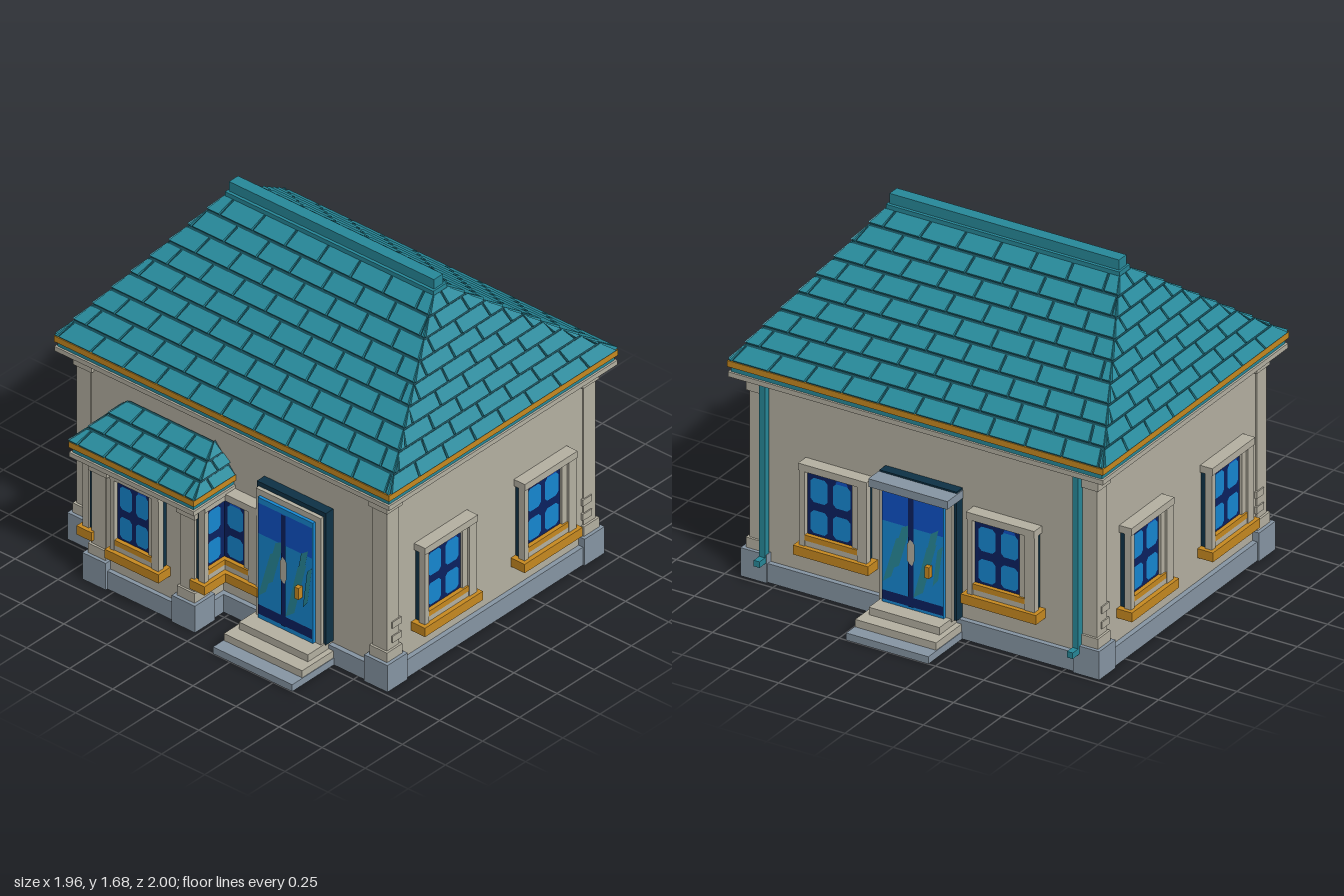
import * as THREE from 'three';

const mat = (name, color, side = THREE.FrontSide) => {
  const m = new THREE.MeshStandardMaterial({ color, side });
  m.name = name;
  return m;
};
const stone = mat('stone', 0xb5b1a2), slate = mat('slate', 0x8796a4), teal = mat('teal', 0x27899a);
const darkTeal = mat('dark teal', 0x134a55), gold = mat('gold', 0xc88a20), darkFrame = mat('dark frame', 0x0e3246);
const navy = mat('navy', 0x0b2161), sky = mat('sky blue', 0x1688d2), blue = mat('blue', 0x0f52c6);

function box(parent, name, m, x0, x1, y0, y1, z0, z1) {
  const mesh = new THREE.Mesh(new THREE.BoxGeometry(x1 - x0, y1 - y0, z1 - z0), m);
  mesh.position.set((x0 + x1) / 2, (y0 + y1) / 2, (z0 + z1) / 2);
  mesh.name = name;
  parent.add(mesh);
}

// Flat painted polygon facing local +z
function plate(parent, name, m, points, z) {
  const mesh = new THREE.Mesh(new THREE.ShapeGeometry(new THREE.Shape(points.map(p => new THREE.Vector2(...p)))), m);
  mesh.position.z = z;
  mesh.name = name;
  parent.add(mesh);
}

function group(parent, name, x, z, turn = 0, sx = 1, sy = 1) {
  const g = new THREE.Group();
  g.name = name;
  g.position.set(x, 0, z);
  g.rotation.y = turn;
  g.scale.set(sx, sy, 1);
  parent.add(g);
  return g;
}

function quadMesh(parent, name, m, quads) {
  const pos = [];
  for (const [a, b, c, d] of quads) for (const p of [a, b, c, a, c, d]) pos.push(p.x, p.y, p.z);
  const geo = new THREE.BufferGeometry();
  geo.setAttribute('position', new THREE.Float32BufferAttribute(pos, 3));
  geo.computeVertexNormals();
  const mesh = new THREE.Mesh(geo, m);
  mesh.name = name;
  parent.add(mesh);
}

// Four slopes covered in rows of staggered tiles over a dark base
function hipRoof(parent, W, D, w, d, y0, y1, rows, pitch) {
  const base = [], tiles = [], up = new THREE.Vector3(0, 1, 0);
  for (let k = 0; k < 4; k++) {
    const [eave, out, top, inn] = k % 2 ? [D, W, d, w] : [W, D, w, d];
    const normal = new THREE.Vector3(0, out - inn, y1 - y0).normalize();
    const at = (s, t, lift) => new THREE.Vector3(s, y0 + (y1 - y0) * t, out + (inn - out) * t)
      .addScaledVector(normal, lift).applyAxisAngle(up, k * Math.PI / 2);
    const half = t => eave + (top - eave) * t;
    base.push([at(-eave, 0, 0), at(eave, 0, 0), at(top, 1, 0), at(-top, 1, 0)]);
    for (let r = 0; r < rows; r++) {
      const t0 = r / rows, t1 = (r + 0.87) / rows, h0 = half(t0), h1 = half(t1);
      const shift = r % 2 ? 0.5 : 0;
      const n = Math.ceil(eave / pitch) + 1;
      for (let i = -n; i < n; i++) {
        const s0 = (i + shift) * pitch + 0.006, s1 = (i + 1 + shift) * pitch - 0.006;
        const clip = (s, h) => Math.max(-h, Math.min(h, s));
        const a0 = clip(s0, h0), b0 = clip(s1, h0), a1 = clip(s0 * 0.97, h1), b1 = clip(s1 * 0.97, h1);
        if (b0 - a0 < 0.008) continue;
        const lo = 0.014, hi = 0.005;
        const A = at(a0, t0, lo), B = at(b0, t0, lo), C = at(b1, t1, hi), E = at(a1, t1, hi);
        const a = at(a0, t0, 0), b = at(b0, t0, 0), c = at(b1, t1, 0), e = at(a1, t1, 0);
        tiles.push([A, B, C, E], [a, b, B, A], [b, c, C, B], [c, e, E, C], [e, a, A, E]);
      }
    }
  }
  quadMesh(parent, 'roofBase', darkTeal, base);
  quadMesh(parent, 'roofTiles', teal, tiles);
}

// Stacked mouldings under the eaves
function cornice(parent, W, D, y) {
  box(parent, 'corniceBead', gold, -W + 0.05, W - 0.05, y - 0.015, y, -D + 0.05, D - 0.05);
  box(parent, 'corniceStone', stone, -W, W, y, y + 0.024, -D, D);
  box(parent, 'corniceTeal', teal, -W + 0.01, W - 0.01, y + 0.024, y + 0.05, -D + 0.01, D - 0.01);
  box(parent, 'corniceGold', gold, -W - 0.002, W + 0.002, y + 0.05, y + 0.08, -D - 0.002, D + 0.002);
}

// Corner pier with footing, base and capital; sx, sz give the outward direction
function pier(parent, x, z, sx, sz, top) {
  const g = new THREE.Group();
  g.name = 'cornerPier';
  const part = (name, m, out, size, y0, y1) => {
    const xs = [x + sx * out, x - sx * size].sort((a, b) => a - b);
    const zs = [z + sz * out, z - sz * size].sort((a, b) => a - b);
    box(g, name, m, xs[0], xs[1], y0, y1, zs[0], zs[1]);
  };
  part('pierFooting', slate, 0.03, 0.105, 0, 0.14);
  part('pierBase', stone, 0.013, 0.09, 0.14, 0.19);
  part('pierShaft', stone, 0.002, 0.08, 0.19, top - 0.065);
  part('pierCapital', stone, 0.012, 0.095, top - 0.065, top);
  parent.add(g);
}

function windowUnit(parent, x, z, turn, sx = 1) {
  const g = group(parent, 'window', x, z, turn, sx);
  box(g, 'windowBacking', darkFrame, -0.165, 0.165, 0.25, 0.645, -0.02, 0.03);
  box(g, 'glass', navy, -0.147, 0.092, 0.305, 0.627, 0.03, 0.036);
  box(g, 'leftPost', stone, -0.175, -0.147, 0.255, 0.64, 0.025, 0.06);
  box(g, 'innerPost', stone, 0.092, 0.125, 0.3, 0.63, 0.03, 0.048);
  box(g, 'rightPost', stone, 0.125, 0.175, 0.255, 0.64, 0.025, 0.06);
  box(g, 'lintel', stone, -0.177, 0.177, 0.627, 0.662, 0.0, 0.064);
  box(g, 'apron', stone, -0.16, 0.16, 0.25, 0.285, 0.025, 0.055);
  box(g, 'innerSill', gold, -0.15, 0.13, 0.283, 0.31, 0.03, 0.057);
  box(g, 'sill', gold, -0.195, 0.195, 0.21, 0.256, -0.01, 0.078);
  // Four panes with clipped corners
  for (const [a, b] of [[-0.128, -0.04], [-0.012, 0.078]]) for (const [c, d] of [[0.322, 0.435], [0.475, 0.595]]) {
    const k = 0.016;
    plate(g, 'pane', sky, [[a + k, c], [b - k, c], [b, c + k], [b, d - k], [b - k, d], [a + k, d], [a, d - k], [a, c + k]], 0.038);
  }
  plate(g, 'paneTop', blue, [[0, 0.595], [0.065, 0.595], [0.055, 0.615], [0.01, 0.615]], 0.038);
}

function door(parent, x, z, turn, sy = 1) {
  const g = group(parent, 'door', x, z, turn, 1, sy);
  box(g, 'doorSurround', darkFrame, -0.2, 0.2, 0.105, 0.8, -0.02, 0.045);
  box(g, 'doorFrame', stone, -0.19, 0.187, 0.105, 0.777, 0.04, 0.064);
  box(g, 'doorLeaf', sky, -0.165, 0.155, 0.112, 0.747, 0.06, 0.08);
  const rect = (name, m, a, b, c, d, h) => plate(g, name, m, [[a, c], [b, c], [b, d], [a, d]], h);
  rect('upperPanel', blue, -0.163, 0.153, 0.56, 0.72, 0.082);
  rect('kickPanel', navy, -0.163, 0.153, 0.135, 0.185, 0.082);
  // Slanted reflections
  for (const [a, c, b, d, w] of [[-0.16, 0.23, -0.09, 0.48, 0.045], [-0.125, 0.3, -0.06, 0.55, 0.05],
    [0.0, 0.19, 0.07, 0.48, 0.05], [0.04, 0.3, 0.09, 0.56, 0.04], [0.1, 0.28, 0.125, 0.48, 0.028]])
    plate(g, 'reflection', teal, [[a, c], [a + w, c + 0.04], [b + w, d + 0.03], [b, d]], 0.084 + a * 0.004);
  rect('centreBar', navy, -0.026, 0.002, 0.135, 0.72, 0.086);
  plate(g, 'centrePlate', stone, [[-0.03, 0.38], [-0.005, 0.36], [0.008, 0.39], [0.008, 0.48], [-0.015, 0.5], [-0.03, 0.47]], 0.088);
  box(g, 'doorHandle', gold, 0.072, 0.095, 0.33, 0.39, 0.08, 0.108);
}

function steps(parent, x, turn, half) {
  const g = group(parent, 'steps', x, 0, turn);
  box(g, 'lowerStep', slate, -half, half, 0, 0.036, 0.6, 1);
  box(g, 'middleStep', stone, -half + 0.003, half - 0.003, 0.036, 0.073, 0.6, 0.93);
  box(g, 'upperStep', stone, -half + 0.03, half - 0.03, 0.073, 0.11, 0.6, 0.86);
}

export function createModel() {
  const model = new THREE.Group();
  model.name = 'house';

  // Main body
  const house = group(model, 'mainHouse', 0, 0);
  box(house, 'plinth', slate, -0.92, 0.92, 0, 0.094, -0.72, 0.72);
  box(house, 'walls', stone, -0.895, 0.895, 0.09, 1.0, -0.695, 0.695);
  for (const sx of [-1, 1]) for (const sz of [-1, 1]) {
    pier(house, sx * 0.9, sz * 0.7, sx, sz, 0.985);
    for (const y of [0.22, 0.295])
      box(house, 'quoin', stone, sx * 0.9 - 0.008, sx * 0.9 + 0.008, y, y + 0.034, sz * 0.64 - 0.03, sz * 0.64 + 0.03);
  }
  cornice(house, 0.972, 0.768, 0.994);
  hipRoof(house, 0.968, 0.764, 0.6, 0.035, 1.072, 1.615, 9, 0.19);
  box(house, 'ridgeBase', teal, -0.605, 0.605, 1.585, 1.63, -0.045, 0.045);
  box(house, 'ridge', teal, -0.595, 0.595, 1.62, 1.68, -0.03, 0.03);

  // Projecting bay
  const bay = group(model, 'bay', -0.345, 0);
  box(bay, 'bayPlinth', slate, -0.315, 0.315, 0, 0.094, 0.5, 0.915);
  box(bay, 'bayWalls', stone, -0.292, 0.292, 0.09, 0.66, 0.5, 0.893);
  for (const sx of [-1, 1]) pier(bay, sx * 0.297, 0.897, sx, 1, 0.64);
  const eaves = group(bay, 'bayEaves', 0, 0.7);
  cornice(eaves, 0.362, 0.276, 0.655);
  hipRoof(eaves, 0.36, 0.275, 0.245, 0.005, 0.733, 0.865, 3, 0.155);

  // Windows
  const q = Math.PI / 2;
  for (const s of [-1, 1]) {
    for (const z of [-0.335, 0.335]) windowUnit(model, s * 0.897, z, s * q);
    windowUnit(model, s * 0.435, -0.697, Math.PI);
    windowUnit(bay, s * 0.294, 0.72, s * q);
  }
  for (const x of [-0.573, 0.017]) windowUnit(model, x, 0.697, 0);
  windowUnit(model, -0.345, 0.897, 0, 0.8);

  // Doors, steps and rear canopy
  door(model, 0.385, 0.7, 0);
  door(model, 0, -0.7, Math.PI, 0.92);
  steps(model, 0.38, 0, 0.23);
  steps(model, 0, Math.PI, 0.213);
  box(model, 'canopy', slate, -0.205, 0.205, 0.688, 0.728, -0.83, -0.7);

  // Rear downpipes
  for (const s of [-1, 1]) {
    box(model, 'downpipe', teal, s * 0.812 - 0.015, s * 0.812 + 0.015, 0.1, 1.0, -0.74, -0.705);
    box(model, 'downpipeFoot', teal, s * 0.812 - 0.015, s * 0.812 + 0.015, 0.1, 0.13, -0.785, -0.705);
  }
  return model;
}
